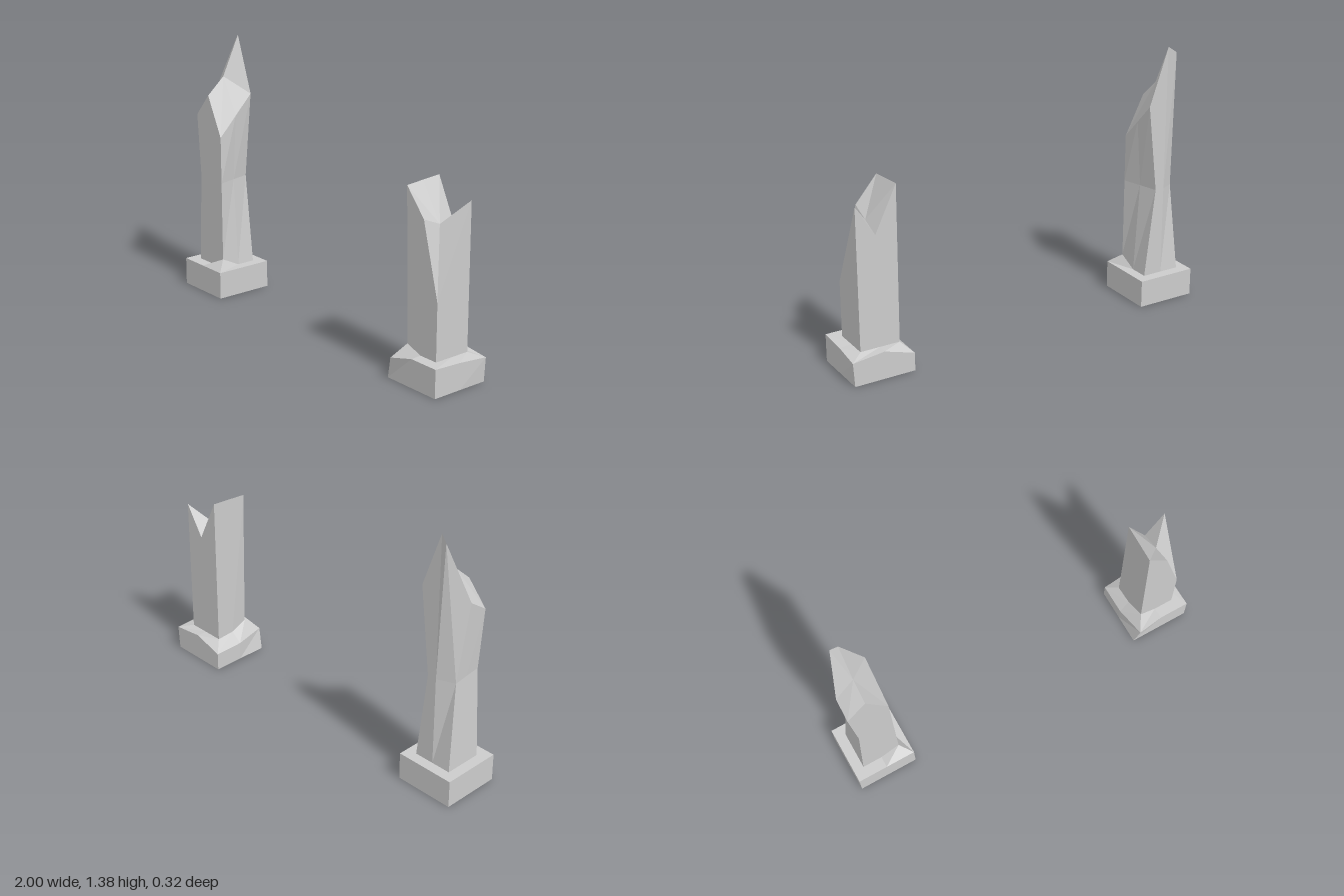
import * as THREE from 'three';

// Ring of 8 points around a rectangle, anticlockwise from above, starting at the
// front -x corner. `changes` replaces single points by index:
// 0 front -x, 1 front, 2 front +x, 3 +x, 4 back +x, 5 back, 6 back -x, 7 -x
function ring(x0, x1, z0, z1, y, changes = {}) {
  const xm = (x0 + x1) / 2, zm = (z0 + z1) / 2;
  const points = [[x0, z1], [xm, z1], [x1, z1], [x1, zm], [x1, z0], [xm, z0], [x0, z0], [x0, zm]]
    .map(([x, z]) => [x, y, z]);
  for (const i in changes) points[i] = changes[i];
  return points;
}

// Skin a stack of rings; optional centre points close the bottom and the top
function loft(name, rings, bottom, top, material) {
  const positions = [];
  const tri = (a, b, c) => positions.push(...a, ...b, ...c);
  for (let r = 0; r < rings.length - 1; r++) {
    for (let i = 0; i < 8; i++) {
      const j = (i + 1) % 8, low = rings[r], high = rings[r + 1];
      tri(low[i], low[j], high[j]);
      tri(low[i], high[j], high[i]);
    }
  }
  for (let i = 0; i < 8; i++) {
    const j = (i + 1) % 8, last = rings[rings.length - 1];
    if (bottom) tri(bottom, rings[0][j], rings[0][i]);
    if (top) tri(top, last[i], last[j]);
  }
  const geometry = new THREE.BufferGeometry();
  geometry.setAttribute('position', new THREE.Float32BufferAttribute(positions, 3));
  geometry.computeVertexNormals();
  const mesh = new THREE.Mesh(geometry, material);
  mesh.name = name;
  return mesh;
}

function pillar(name, base, shaft, bottom, top, material) {
  const group = new THREE.Group();
  group.name = name;
  group.add(
    loft('plinth', [...base, shaft[0]], bottom, null, material),
    loft('brokenShaft', shaft, null, top, material)
  );
  return group;
}

export function createModel() {
  const model = new THREE.Group();
  model.name = 'brokenPillars';
  const stone = new THREE.MeshStandardMaterial({ color: 0xcccccc, flatShading: true });

  // Tall pillar: pinched waist, pointed break
  const tallBase = [ring(-1, -0.68, -0.16, 0.155, 0), ring(-1, -0.68, -0.16, 0.155, 0.145)];
  const tallShaft = [
    ring(-0.945, -0.735, -0.105, 0.095, 0.145, { 2: [-0.735, 0.195, 0.095] }),
    ring(-0.945, -0.735, -0.105, 0.095, 0.62, {
      0: [-0.92, 0.63, 0.095], 3: [-0.763, 0.62, -0.005], 4: [-0.79, 0.62, -0.105],
      6: [-0.92, 0.61, -0.055], 7: [-0.92, 0.62, 0.015],
    }),
    ring(-0.945, -0.735, -0.105, 0.095, 1, {
      0: [-0.945, 0.96, 0.095], 1: [-0.84, 1.08, 0.095], 2: [-0.735, 0.87, 0.095],
      3: [-0.735, 0.975, -0.005], 4: [-0.735, 1.08, -0.105], 5: [-0.84, 1.38, -0.105],
      6: [-0.88, 1.35, -0.12], 7: [-0.945, 1.03, -0.005],
    }),
  ];
  model.add(pillar('tallPillar', tallBase, tallShaft, [-0.84, 0, 0], [-0.84, 1.17, -0.005], stone));

  // Short pillar: chipped plinth, valley-shaped break
  const shortBase = [
    ring(0.668, 0.99, -0.16, 0.155, 0),
    ring(0.668, 0.99, -0.16, 0.155, 0.145, {
      0: [0.695, 0.112, 0.165], 3: [0.99, 0.137, 0],
      4: [0.998, 0.125, -0.16], 6: [0.668, 0.095, -0.16], 7: [0.668, 0.098, 0],
    }),
  ];
  const shortShaft = [
    ring(0.72, 0.93, -0.105, 0.095, 0.145, { 0: [0.735, 0.178, 0.095], 7: [0.722, 0.15, -0.005] }),
    ring(0.715, 0.93, -0.105, 0.095, 0.8, {
      0: [0.715, 0.945, 0.095], 1: [0.83, 0.81, 0.095], 2: [0.93, 0.435, 0.095],
      3: [0.93, 0.66, -0.005], 4: [0.93, 0.885, -0.105], 5: [0.83, 0.725, -0.105],
      6: [0.715, 0.96, -0.105], 7: [0.715, 0.953, -0.005],
    }),
  ];
  model.add(pillar('shortPillar', shortBase, shortShaft, [0.83, 0, 0], [0.83, 0.768, -0.005], stone));

  return model;
}
